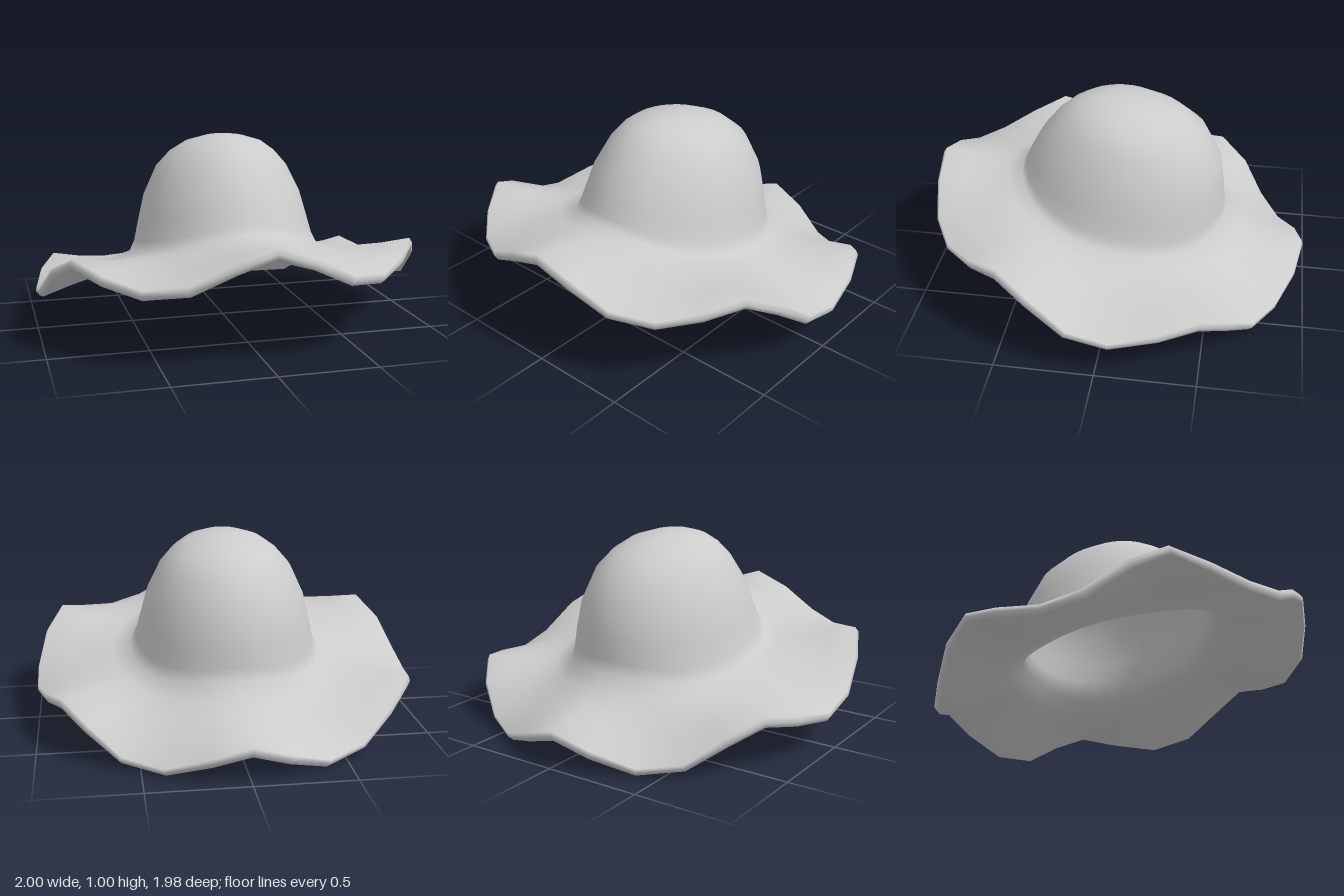
import * as THREE from 'three';

const SEG = 30;          // facets around the hat
const THICK = 0.05;      // felt thickness

// Brim edge from front centre to back centre: [x, y, z], mirrored for the other side
const RIM = [
  [0, 0.60, 0.975], [0.2, 0.53, 0.96], [0.4, 0.43, 0.915], [0.59, 0.40, 0.81],
  [0.745, 0.44, 0.66], [0.865, 0.49, 0.49], [0.948, 0.40, 0.32], [0.995, 0.26, 0.13],
  [0.995, 0.21, -0.07], [0.948, 0.25, -0.3], [0.865, 0.285, -0.49], [0.745, 0.2, -0.64],
  [0.59, 0.075, -0.75], [0.4, 0.047, -0.855], [0.2, 0.12, -0.945], [0, 0.185, -0.98],
];

// Crown rings from top to base: [height fraction, half width, front z, back z]
const CROWN = [
  [0.985, 0.10, 0.14, -0.08], [0.935, 0.20, 0.22, -0.21], [0.85, 0.275, 0.285, -0.33],
  [0.72, 0.345, 0.35, -0.435], [0.48, 0.415, 0.435, -0.515], [0.25, 0.452, 0.488, -0.54],
  [0.10, 0.474, 0.52, -0.547], [0, 0.505, 0.545, -0.555],
];

const BRIM_STEPS = [0.18, 0.4, 0.7, 1];

function rimPoint(j) {
  const mirrored = j > SEG / 2;
  const [x, y, z] = RIM[mirrored ? SEG - j : j];
  return new THREE.Vector3(mirrored ? -x : x, y, z);
}

// Point on one crown ring; the base is higher at the front and droops at the sides
function crownPoint([h, rx, zf, zb], j) {
  const a = (j / SEG) * Math.PI * 2;
  const c = Math.cos(a);
  const base = 0.463 + 0.105 * c - 0.085 * (1 - c ** 4);
  return new THREE.Vector3(
    rx * Math.sin(a), base + (1 - base) * h, (zf + zb) / 2 + ((zf - zb) / 2) * c);
}

// Point on the brim: a sagging slope plus waves that grow towards the edge
function brimPoint(t, j) {
  const inner = crownPoint(CROWN[CROWN.length - 1], j);
  const edge = rimPoint(j);
  const mean = 0.31 + 0.19 * Math.cos((j / SEG) * Math.PI * 2);
  const p = inner.clone().lerp(edge, t);
  p.y = inner.y + (mean - inner.y) * t ** 0.65 + (edge.y - mean) * t ** 1.7;
  return p;
}

// Triangles of a pole followed by rings of SEG points
function ringIndices(ringCount, start, flip) {
  const index = [];
  const id = (k, j) => start + 1 + k * SEG + (j % SEG);
  const tri = (a, b, c) => (flip ? index.push(a, c, b) : index.push(a, b, c));
  for (let j = 0; j < SEG; j++) {
    tri(start, id(0, j), id(0, j + 1));
    for (let k = 0; k < ringCount - 1; k++) {
      tri(id(k, j), id(k + 1, j), id(k + 1, j + 1));
      tri(id(k, j), id(k + 1, j + 1), id(k, j + 1));
    }
  }
  return index;
}

function makeGeometry(points, index) {
  const g = new THREE.BufferGeometry().setFromPoints(points);
  g.setIndex(index);
  g.computeVertexNormals();
  return g;
}

function hatGeometry() {
  // Outer skin: crown top, crown rings, brim rings
  const outer = [new THREE.Vector3(0, 1, 0.04)];
  for (const ring of CROWN) for (let j = 0; j < SEG; j++) outer.push(crownPoint(ring, j));
  for (const t of BRIM_STEPS) for (let j = 0; j < SEG; j++) outer.push(brimPoint(t, j));
  const rings = CROWN.length + BRIM_STEPS.length;
  const index = ringIndices(rings, 0, false);
  const normals = makeGeometry(outer, index).getAttribute('normal');

  // Lining: the outer skin pushed inwards
  const lining = outer.map((p, i) =>
    p.clone().addScaledVector(new THREE.Vector3().fromBufferAttribute(normals, i), -THICK));
  const n = outer.length;
  index.push(...ringIndices(rings, n, true));

  // Rounded lip joining both skins
  const last = n - SEG;
  const lip = [];
  for (let j = 0; j < SEG; j++) {
    const p = outer[last + j].clone().lerp(lining[last + j], 0.5);
    const out = new THREE.Vector3(p.x, 0, p.z).normalize();
    lip.push(p.addScaledVector(out, 0.012));
  }
  for (let j = 0; j < SEG; j++) {
    const k = (j + 1) % SEG;
    const [a, b, c] = [last, 2 * n, n + last];
    index.push(a + j, b + j, b + k, a + j, b + k, a + k);
    index.push(b + j, c + j, c + k, b + j, c + k, b + k);
  }

  const g = makeGeometry([...outer, ...lining, ...lip], index);
  g.computeBoundingBox();
  g.translate(0, -g.boundingBox.min.y, 0);
  return g;
}

export function createModel() {
  const hat = new THREE.Group();
  hat.name = 'floppyHat';
  const shell = new THREE.Mesh(
    hatGeometry(), new THREE.MeshStandardMaterial({ color: 0xcccccc }));
  shell.name = 'crownAndWavyBrim';
  hat.add(shell);
  return hat;
}
